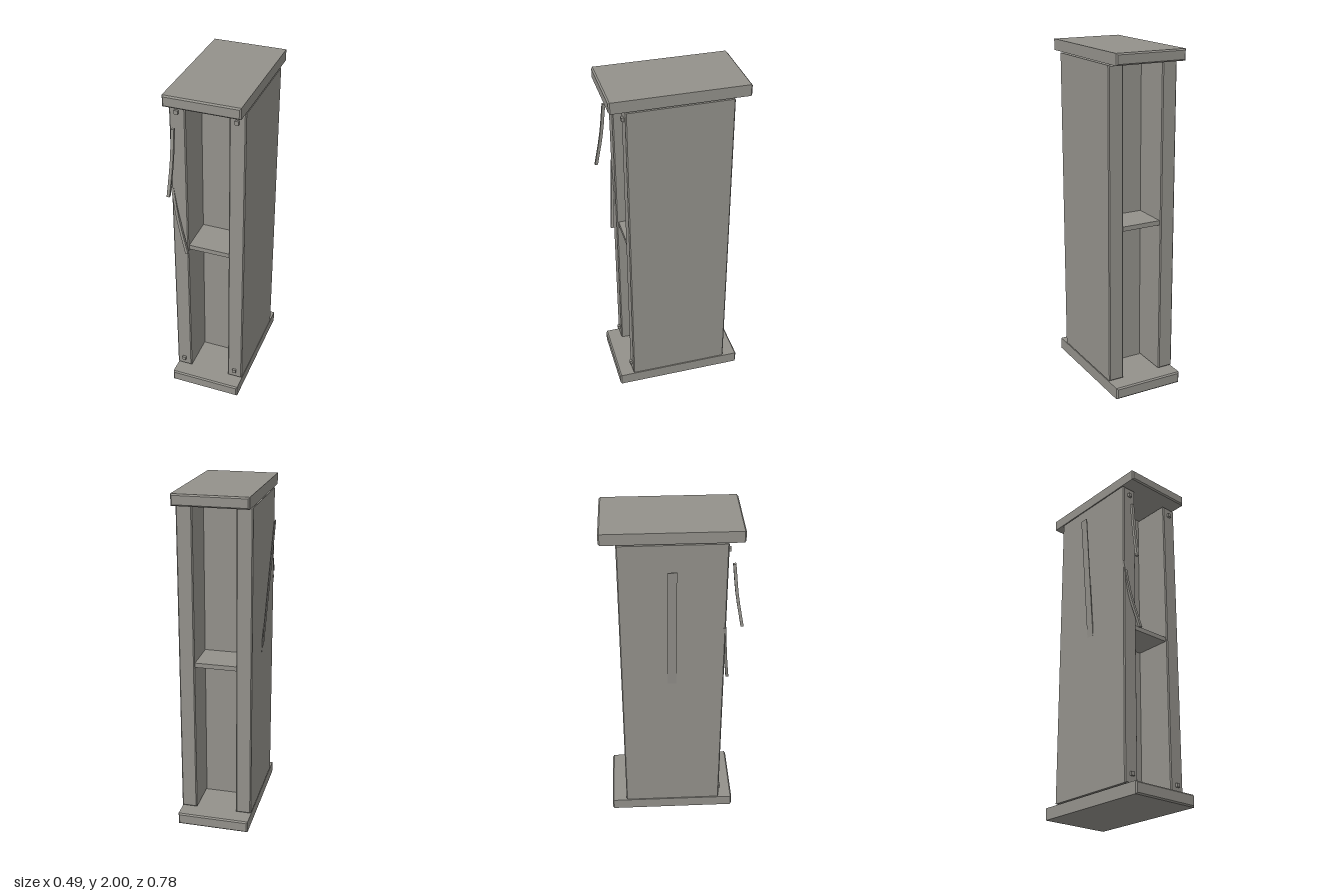
import * as THREE from 'three';

export function createModel() {
  const group = new THREE.Group();
  const grey = new THREE.MeshStandardMaterial({ color: 0x93918b });
  grey.name = 'weathered grey';

  const add = (name, geometry) => {
    const mesh = new THREE.Mesh(geometry, grey);
    mesh.name = name;
    group.add(mesh);
    return mesh;
  };

  // Box between two corners, with optional chamfered edges
  const box = (name, [x0, y0, z0], [x1, y1, z1], c = 0) => {
    const w = x1 - x0, h = y1 - y0, d = z1 - z0;
    let g;
    if (c > 0) {
      const a = w / 2 - c, b = h / 2 - c;
      const s = new THREE.Shape([[-a, -b], [a, -b], [a, b], [-a, b]].map(p => new THREE.Vector2(...p)));
      g = new THREE.ExtrudeGeometry(s, {
        depth: d - 2 * c, bevelEnabled: true, bevelSegments: 1, bevelSize: c, bevelThickness: c
      });
      g.translate(0, 0, -(d - 2 * c) / 2);
    } else {
      g = new THREE.BoxGeometry(w, h, d);
    }
    add(name, g).position.set((x0 + x1) / 2, (y0 + y1) / 2, (z0 + z1) / 2);
  };

  // Bowed bar with a rectangular section, swept down a list of points
  const bar = (name, points, w, d) => {
    const curve = new THREE.CatmullRomCurve3(points.map(p => new THREE.Vector3(...p)));
    const n = 6;
    const g = new THREE.BoxGeometry(w, 1, d, 1, n, 1);
    const pos = g.attributes.position;
    for (let i = 0; i < pos.count; i++) {
      const p = curve.getPoint(0.5 - pos.getY(i));
      pos.setXYZ(i, p.x + pos.getX(i), p.y, p.z + pos.getZ(i));
    }
    g.computeVertexNormals();
    add(name, g);
  };

  // Cap slabs
  box('bottomSlab', [-0.183, 0, -0.392], [0.243, 0.07, 0.376], 0.008);
  box('topSlab', [-0.183, 1.935, -0.392], [0.243, 2, 0.376], 0.008);

  // Side walls, central web and the shelf crossing it
  box('rightWall', [-0.183, 0.077, -0.302], [-0.092, 1.928, 0.29], 0.006);
  box('leftWall', [0.152, 0.077, -0.302], [0.243, 1.928, 0.29], 0.006);
  box('centreWeb', [-0.095, 0.065, -0.07], [0.155, 1.94, 0.057]);
  box('shelf', [-0.095, 0.99, -0.29], [0.155, 1.017, 0.278]);

  // Bolt heads on the front edges
  for (const x of [-0.138, 0.196])
    for (const y of [0.13, 1.875])
      box('bolt', [x - 0.011, y - 0.011, 0.28], [x + 0.011, y + 0.011, 0.304]);

  // Loose bowed strips at the front
  bar('upperStrip', [[-0.147, 1.79, 0.325], [-0.151, 1.6, 0.346], [-0.162, 1.4, 0.381]], 0.017, 0.017);
  bar('lowerStrip', [[-0.179, 1.4, 0.284], [-0.146, 1.2, 0.297], [-0.088, 0.99, 0.32]], 0.016, 0.017);

  // Thin plate peeling off the outer wall
  const top = new THREE.Vector2(-0.243, 1.8), foot = new THREE.Vector2(-0.181, 1.02);
  const plate = add('peelingPlate', new THREE.BoxGeometry(0.005, top.distanceTo(foot), 0.05));
  plate.position.set((top.x + foot.x) / 2, (top.y + foot.y) / 2, -0.01);
  plate.rotation.z = Math.atan2(foot.x - top.x, top.y - foot.y);

  return group;
}
